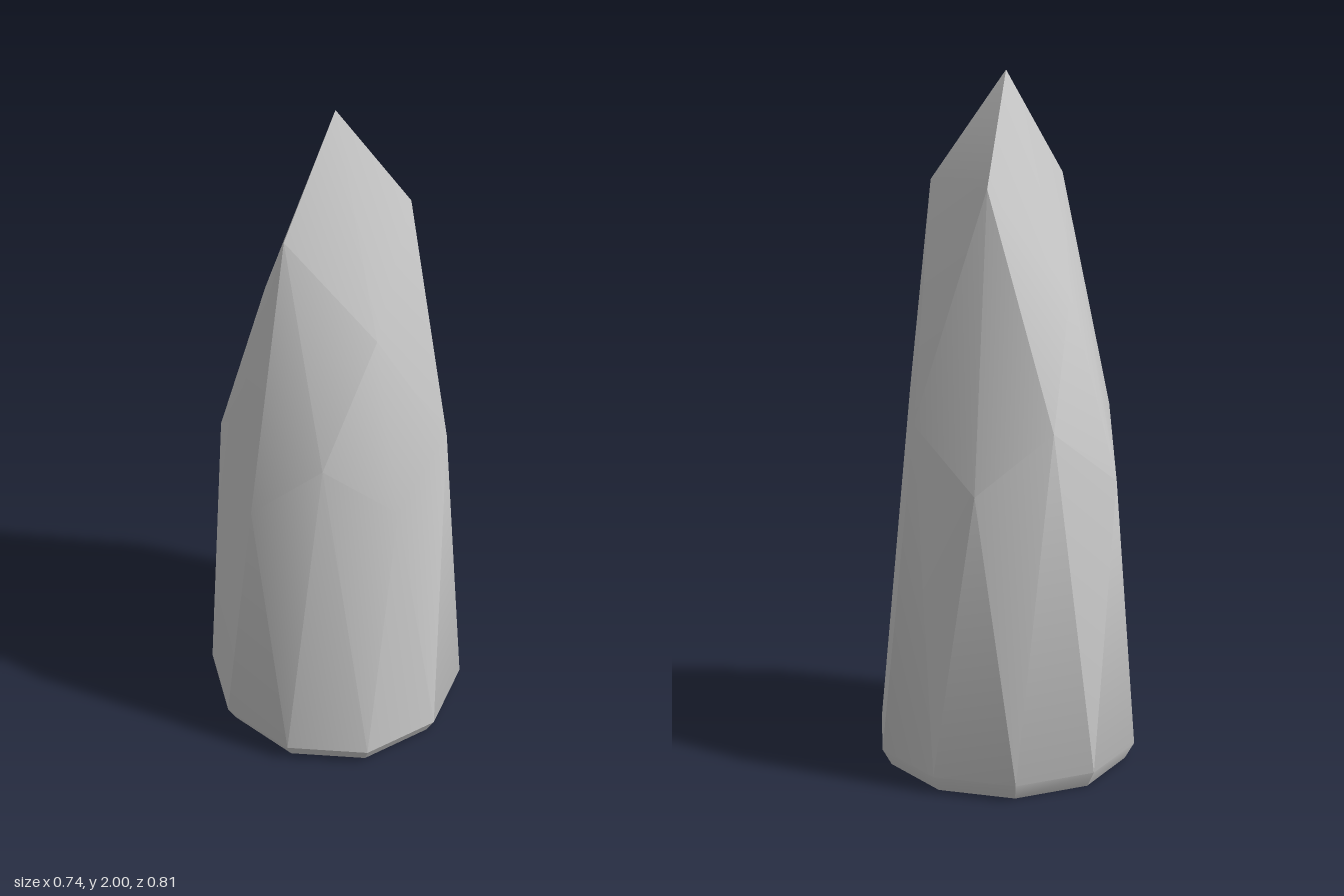
import * as THREE from 'three';
import { ConvexGeometry } from 'three/addons/geometries/ConvexGeometry.js';
import { toCreasedNormals } from 'three/addons/utils/BufferGeometryUtils.js';

// Ring of points around the y axis; rx and rz squash it, heights alternate
function ring(count, heights, rx, rz = rx) {
  return Array.from({ length: count }, (_, i) => {
    const a = (i / count) * Math.PI * 2;
    return new THREE.Vector3(Math.cos(a) * rx, heights[i % heights.length], Math.sin(a) * rz);
  });
}

// Decagonal foot ring with a corner facing front and back
function footRing(y, scale) {
  return ring(10, [y], 0.388, 0.405).map((p, i) => {
    const a = ((i + 0.5) / 10) * Math.PI * 2;
    return new THREE.Vector3(Math.cos(a) * 0.388 * scale, y, Math.sin(a) * 0.405 * scale);
  });
}

export function createModel() {
  const group = new THREE.Group();
  group.name = 'crystal';

  // Irregular shoulder facets, counted round from +x towards +z
  const shoulder = [
    [0.29, 0], [0.27, 0.21], [0.105, 0.31], [-0.107, 0.29], [-0.295, 0.212],
    [-0.297, 0], [-0.295, -0.22], [-0.107, -0.342], [0.11, -0.356], [0.27, -0.21],
  ].map(([x, z], i) => new THREE.Vector3(x, i % 2 ? 1.05 : 0.88, z));

  const points = [
    new THREE.Vector3(0, 2, 0),              // tip
    ...ring(5, [1.7, 1.4], 0.21, 0.218),     // staggered tip facets
    ...shoulder,
    ...footRing(0.05, 1),                    // widest edge
    ...footRing(0, 0.93),                    // bevelled underside
  ];

  // Faceted shard, softened across shallow facets
  const geometry = toCreasedNormals(new ConvexGeometry(points), THREE.MathUtils.degToRad(30));
  const shard = new THREE.Mesh(geometry, new THREE.MeshStandardMaterial({ color: 0xcccccc }));
  shard.name = 'shard';
  group.add(shard);
  return group;
}
